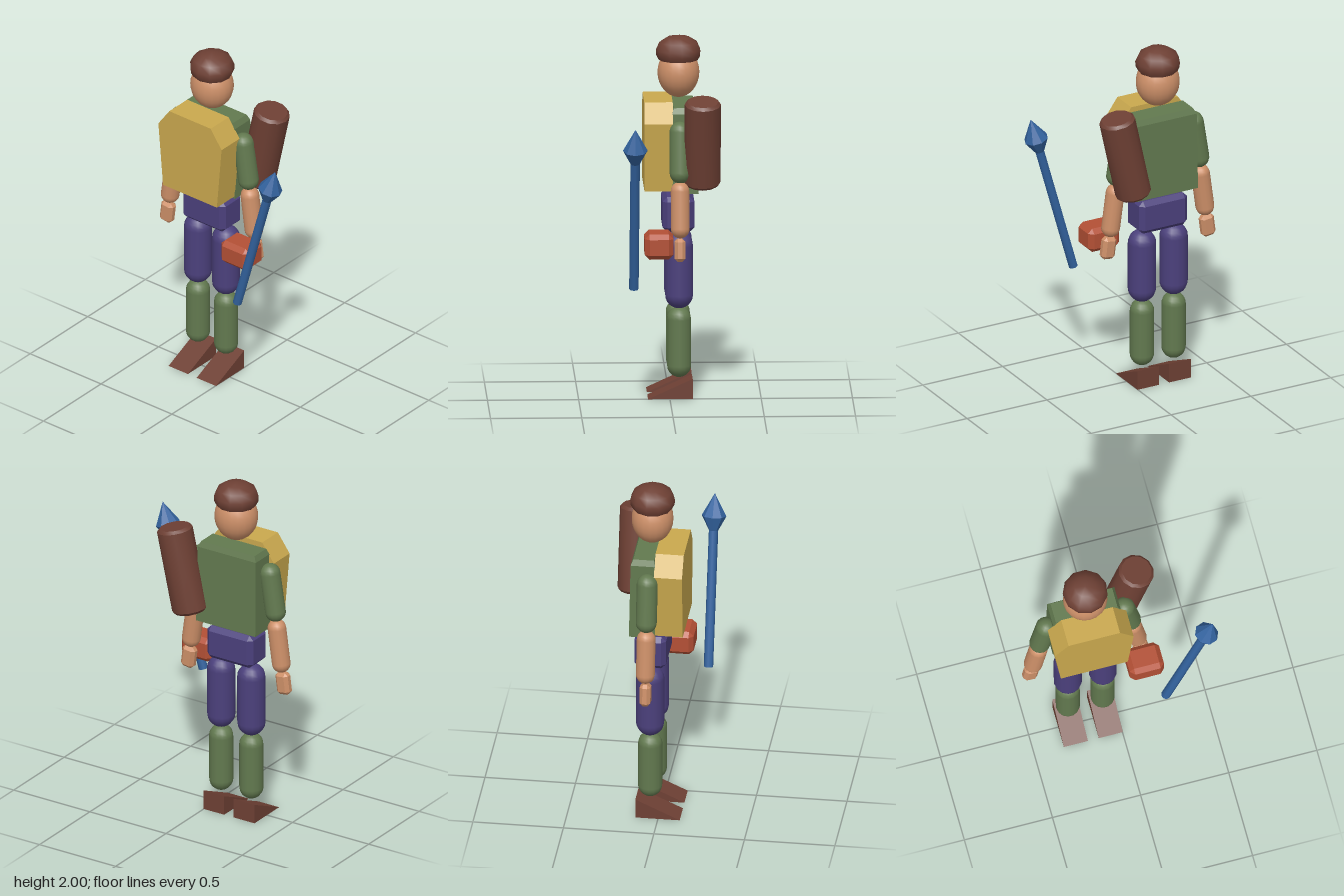
import * as THREE from 'three';
import { toCreasedNormals } from 'three/addons/utils/BufferGeometryUtils.js';
import { ConvexGeometry } from 'three/addons/geometries/ConvexGeometry.js';

const COLORS = {
  skin: 0xcc8f68, brown: 0x6e4034, green: 0x62794f, yellow: 0xc9a84e,
  purple: 0x4b407c, red: 0xb35035, blue: 0x33639f,
};
const materials = {};
for (const key in COLORS) materials[key] = new THREE.MeshStandardMaterial({ color: COLORS[key] });

const CX = -0.165; // the figure's mid plane
const CZ = -0.052;
const v2 = (p) => new THREE.Vector2(p[0], p[1]);
const v3 = (x, y, z) => new THREE.Vector3(x, y, z);

function part(group, name, geometry, color, x = 0, y = 0, z = 0, tilt = 0) {
  const mesh = new THREE.Mesh(geometry, materials[color]);
  mesh.name = name;
  mesh.position.set(x, y, z);
  mesh.rotation.z = tilt;
  group.add(mesh);
  return mesh;
}

// Box with flat chamfers on every edge
function chamferBox(w, h, d, b) {
  const points = [];
  for (const sx of [-1, 1]) for (const sy of [-1, 1]) for (const sz of [-1, 1]) {
    for (let full = 0; full < 3; full++) {
      const p = [w, h, d].map((s, i) => s / 2 - (i === full ? 0 : b));
      points.push(v3(sx * p[0], sy * p[1], sz * p[2]));
    }
  }
  return new ConvexGeometry(points);
}

// Profile runs from bottom to top
function turned(profile, sides, crease = 0.9) {
  return toCreasedNormals(new THREE.LatheGeometry(profile.map(v2), sides), crease);
}

// Rounded limb between two points in the xy plane
function limb(group, name, color, a, b, r, z = CZ) {
  const length = Math.hypot(b[0] - a[0], b[1] - a[1]);
  const tilt = Math.atan2(a[0] - b[0], b[1] - a[1]);
  const geometry = new THREE.CapsuleGeometry(r, length, 6, 14);
  return part(group, name, geometry, color, (a[0] + b[0]) / 2, (a[1] + b[1]) / 2, z, tilt);
}

export function createModel() {
  const model = new THREE.Group();
  model.name = 'explorer';

  // Head and cap
  const head = part(model, 'head', new THREE.SphereGeometry(1, 20, 14), 'skin', CX, 1.795, CZ);
  head.scale.set(0.123, 0.138, 0.115);
  part(model, 'cap', turned([
    [0, 1.865], [0.109, 1.865], [0.122, 1.89], [0.124, 1.92], [0.105, 1.962], [0.06, 1.99], [0, 2],
  ], 11), 'brown', CX, 0, CZ);

  // Torso: slightly tapered block with a chamfered top
  const torso = [];
  for (const [y, half, back, front] of [
    [1.15, 0.194, -0.157, -0.012], [1.595, 0.191, -0.148, -0.012], [1.627, 0.175, -0.135, -0.02],
  ]) {
    for (const s of [-1, 1]) torso.push(v3(s * half, y, back), v3(s * half, y, front));
  }
  part(model, 'torso', new ConvexGeometry(torso), 'green', CX);

  // Pack worn on the chest
  const outline = [
    [-0.19, 1.165], [0.19, 1.165], [0.223, 1.547], [0.146, 1.655], [-0.146, 1.655], [-0.223, 1.547],
  ];
  const pack = new THREE.ExtrudeGeometry(new THREE.Shape(outline.map(v2)), { depth: 0.156, bevelEnabled: false });
  part(model, 'chestPack', pack, 'yellow', CX, 0, -0.016);

  part(model, 'pelvis', chamferBox(0.3, 0.195, 0.175, 0.026), 'purple', CX, 1.023, -0.048);

  // Wedge shoe, tall at the heel
  const wedge = [];
  for (const x of [-0.068, 0.068]) wedge.push(v3(x, 0, 0.12), v3(x, 0, -0.125), v3(x, 0.112, -0.125));
  const shoe = new ConvexGeometry(wedge);

  // Limbs, mirrored about the figure's mid plane
  for (const [side, s] of [['left', 1], ['right', -1]]) {
    const at = (x, y) => [CX + s * x, y];
    const hip = 0.099;
    limb(model, side + 'Thigh', 'purple', at(hip, 0.573), at(hip, 0.845), 0.078);
    limb(model, side + 'Shin', 'green', at(hip, 0.178), at(hip, 0.436), 0.067);
    part(model, side + 'Shoe', shoe, 'brown', CX + s * hip);
    limb(model, side + 'UpperArm', 'green', at(0.257, 1.282), at(0.222, 1.503), 0.058);
    limb(model, side + 'Forearm', 'skin', at(0.295, 0.977), at(0.267, 1.182), 0.052);
    part(model, side + 'Hand', chamferBox(0.082, 0.128, 0.06, 0.018), 'skin', CX + s * 0.31, 0.861, -0.05, s * 0.13);
  }

  // Pouch at the left hand
  part(model, 'pouch', chamferBox(0.195, 0.14, 0.157, 0.026), 'red', 0.138, 0.892, 0.066);

  // Quiver slung behind the left shoulder
  part(model, 'quiver', turned([
    [0, 0], [0.085, 0], [0.1, 0.016], [0.1, 0.479], [0.085, 0.495], [0, 0.495],
  ], 12, 0.7), 'brown', 0.054, 1.209, -0.175, -0.217);

  // Spear: round shaft and a faceted point
  const spear = new THREE.Group();
  spear.name = 'spear';
  spear.position.set(0.222, 0.663, 0.205);
  spear.rotation.z = -0.276;
  part(spear, 'spearShaft', turned([[0, 0], [0.026, 0], [0.026, 0.775], [0, 0.775]], 8, 1), 'blue');
  part(spear, 'spearPoint', turned([[0, 0.77], [0.026, 0.77], [0.068, 0.852], [0, 0.979]], 8, 0.3), 'blue');
  model.add(spear);

  return model;
}
